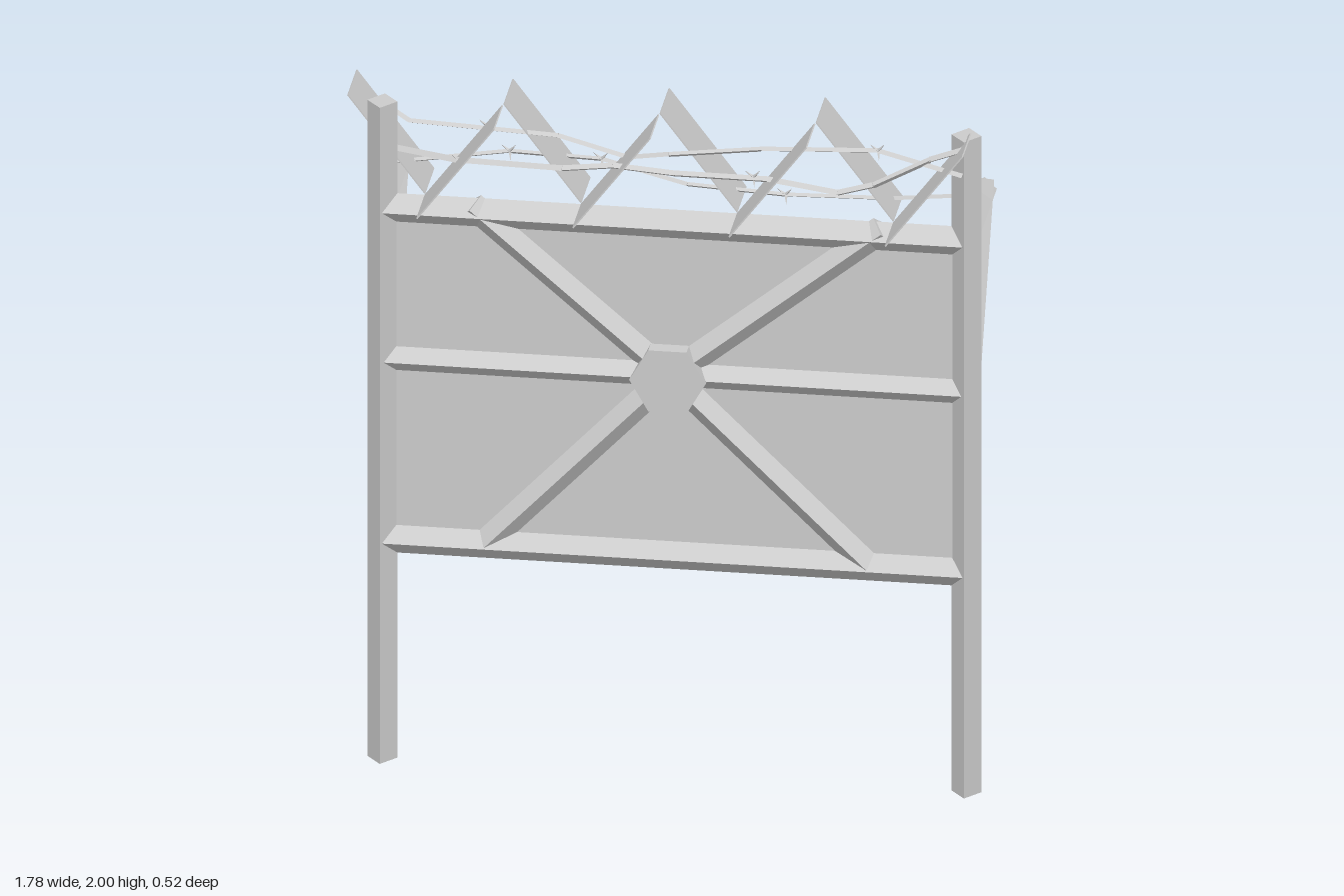
import * as THREE from 'three';

const material = new THREE.MeshStandardMaterial({ color: 0xcccccc, flatShading: true, side: THREE.DoubleSide });
const UP = new THREE.Vector3(0, 1, 0);
const Z = 0.09; // plane of the fence
const LEFT = 0.845, RIGHT = -0.79; // post positions
const MID = (LEFT + RIGHT) / 2;

function add(parent, name, geometry) {
  const mesh = new THREE.Mesh(geometry, material);
  mesh.name = name;
  parent.add(mesh);
  return mesh;
}

// Straight bar from a to b; four sides give a diamond section
function beam(parent, name, a, b, r, sides = 4, rEnd = r) {
  const start = new THREE.Vector3(...a), end = new THREE.Vector3(...b);
  const dir = end.clone().sub(start);
  const mesh = add(parent, name, new THREE.CylinderGeometry(rEnd, r, dir.length(), sides));
  mesh.position.copy(start).add(end).multiplyScalar(0.5);
  mesh.quaternion.setFromUnitVectors(UP, dir.normalize());
  return mesh;
}

// Wire made of straight kinked lengths
function wire(parent, name, points, r) {
  const group = new THREE.Group();
  group.name = name;
  for (let i = 0; i < points.length - 1; i++) beam(group, 'wireLength', points[i], points[i + 1], r, 3);
  parent.add(group);
}

// Small cluster of spikes on a wire
function barb(parent, [x, y, z]) {
  const group = new THREE.Group();
  group.name = 'barb';
  for (const [dx, dy, dz] of [[0.02, 0.025, 0.01], [-0.025, 0.015, -0.01], [0.005, -0.025, 0.015], [0.01, 0.005, -0.03]])
    beam(group, 'spike', [x, y, z], [x + dx, y + dy, z + dz], 0.006, 3, 0);
  parent.add(group);
}

export function createModel() {
  const model = new THREE.Group();
  model.name = 'fencePanel';

  // Posts, each with a rear arm and a diagonal brace
  for (const [side, x] of [['left', LEFT], ['right', RIGHT]]) {
    const post = beam(model, side + 'Post', [x, 0, Z], [x, 1.99, Z], 0.05);
    post.scale.x = 0.84;
    beam(model, side + 'Arm', [x, 1.675, Z], [x, 1.675, -0.26], 0.034);
    beam(model, side + 'Brace', [x, 1.22, 0.065], [x, 1.725, -0.21], 0.034);
  }

  // Horizontal rails
  for (const [name, y, r] of [['topRail', 1.668, 0.044], ['middleRail', 1.213, 0.039], ['bottomRail', 0.666, 0.044]])
    beam(model, name, [RIGHT, y, Z], [LEFT, y, Z], r);

  // Thin sheet filling the frame
  add(model, 'sheet', new THREE.BoxGeometry(LEFT - RIGHT, 1.01, 0.006)).position.set(MID, 1.175, Z);

  // Crossing diagonals and the hexagonal hub
  const centre = [0.015, 1.21, Z];
  for (const [x, y] of [[-0.54, 1.69], [0.61, 1.69], [-0.5, 0.67], [0.57, 0.67]])
    beam(model, 'diagonal', centre, [x, y, Z], 0.041);
  const hub = add(model, 'hub', new THREE.CylinderGeometry(0.107, 0.107, 0.1, 6));
  hub.geometry.rotateY(Math.PI / 6).rotateX(Math.PI / 2).rotateZ(0);
  hub.position.set(...centre);

  // Zigzag of slanted plates: rear ones fall to the left, front ones rise
  for (let i = 0; i < 8; i++) {
    const front = i % 2 === 1;
    const plate = add(model, front ? 'frontPlate' : 'rearPlate', new THREE.BoxGeometry(0.358, 0.004, front ? 0.165 : 0.172));
    plate.position.set(-0.78 + i * 0.2185, 1.855, front ? 0.173 : -0.004);
    plate.rotation.z = (front ? 1 : -1) * Math.atan2(0.285, 0.216);
  }

  // Kinked barbed wires
  wire(model, 'rearWire', [
    [-0.78, 1.76, -0.01], [-0.45, 1.81, -0.02], [-0.2, 1.78, -0.07], [0.05, 1.75, 0],
    [0.32, 1.72, -0.035], [0.62, 1.73, -0.03], [0.845, 1.78, 0.03]], 0.007);
  wire(model, 'middleWire', [
    [-0.78, 1.95, 0.04], [-0.72, 1.915, 0.05], [-0.3, 1.91, 0.08], [-0.1, 1.87, 0.11], [0.02, 1.9, 0.14],
    [0.27, 1.91, 0.09], [0.6, 1.935, 0.11], [0.845, 1.9, 0.17]], 0.008);
  wire(model, 'frontWire', [
    [-0.78, 1.83, 0.04], [-0.57, 1.84, 0.13], [-0.27, 1.865, 0.2], [-0.13, 1.88, 0.195], [0.04, 1.865, 0.19],
    [0.3, 1.855, 0.17], [0.5, 1.84, 0.2], [0.6, 1.87, 0.2], [0.75, 1.93, 0.14], [0.845, 1.97, 0.15]], 0.01);
  for (const p of [[-0.45, 1.81, -0.02], [-0.2, 1.78, -0.07], [0.32, 1.72, -0.035], [-0.5, 1.92, 0.065],
    [0.6, 1.935, 0.11], [-0.57, 1.84, 0.13], [0.26, 1.86, 0.17]]) barb(model, p);

  return model;
}
